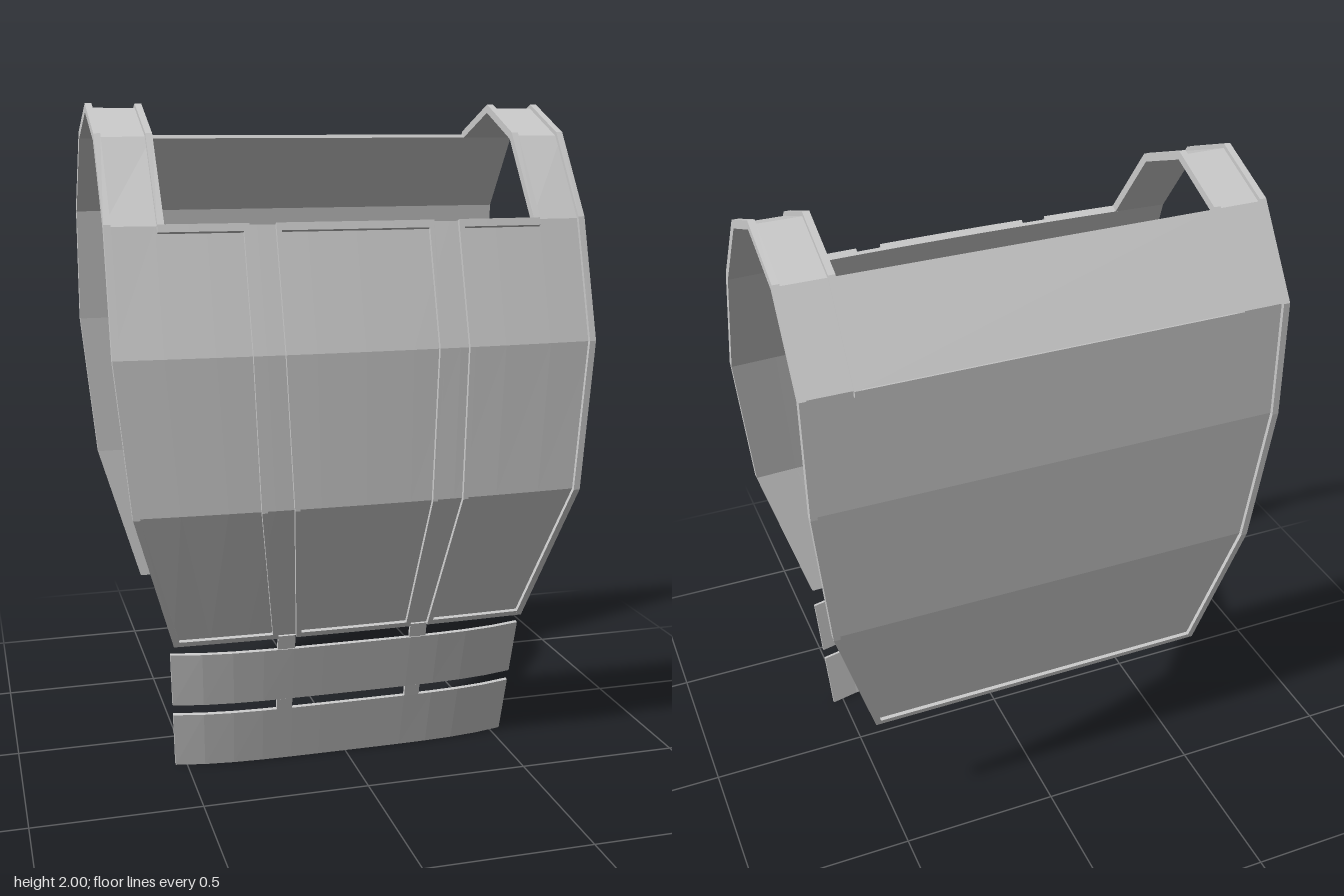
import * as THREE from 'three';

const material = new THREE.MeshStandardMaterial({ color: 0xcccccc, flatShading: true });
const lerp = THREE.MathUtils.lerp;

// linear lookup in a short table of per-row values
function at(table, t) {
  const i = Math.min(Math.floor(t), table.length - 2);
  return lerp(table[i], table[i + 1], t - i);
}

// surface swept across x from a side profile of [z, y] rows; bow bends the sides back
function makeSurface(profile, bow, power) {
  const normals = profile.map((p, i) => {
    const seg = (a, b) => {
      const dz = b[0] - a[0], dy = b[1] - a[1], l = Math.hypot(dz, dy);
      return [dy / l, -dz / l];
    };
    const n0 = seg(profile[Math.max(i - 1, 0)], profile[Math.max(i, 1)]);
    const last = profile.length - 1;
    const n1 = seg(profile[Math.min(i, last - 1)], profile[Math.min(i + 1, last)]);
    const k = 1 + n0[0] * n1[0] + n0[1] * n1[1];
    return [(n0[0] + n1[0]) / k, (n0[1] + n1[1]) / k];
  });
  return (t, x, d) => {
    const z = at(profile.map((p, i) => p[0] + normals[i][0] * d), t);
    const y = at(profile.map((p, i) => p[1] + normals[i][1] * d), t);
    return [x, y, z - at(bow, t) * Math.pow(Math.abs(x) / 0.55, power)];
  };
}

// closed slab over rows ts, between x limits left(t) and right(t), from depth d0 out to d1
function slab(surface, ts, left, right, d0, d1, nx) {
  const pos = [];
  const P = (i, j, d) => surface(ts[i], lerp(left(ts[i]), right(ts[i]), j / nx), d);
  const quad = (a, b, c, d) => pos.push(...a, ...b, ...c, ...a, ...c, ...d);
  const n = ts.length - 1;
  for (let i = 0; i < n; i++) {
    for (let j = 0; j < nx; j++) {
      quad(P(i, j, d1), P(i, j + 1, d1), P(i + 1, j + 1, d1), P(i + 1, j, d1));
      quad(P(i, j, d0), P(i + 1, j, d0), P(i + 1, j + 1, d0), P(i, j + 1, d0));
    }
    quad(P(i, 0, d0), P(i, 0, d1), P(i + 1, 0, d1), P(i + 1, 0, d0));
    quad(P(i, nx, d1), P(i, nx, d0), P(i + 1, nx, d0), P(i + 1, nx, d1));
  }
  for (let j = 0; j < nx; j++) {
    quad(P(0, j, d0), P(0, j + 1, d0), P(0, j + 1, d1), P(0, j, d1));
    quad(P(n, j, d1), P(n, j + 1, d1), P(n, j + 1, d0), P(n, j, d0));
  }
  const g = new THREE.BufferGeometry();
  g.setAttribute('position', new THREE.Float32BufferAttribute(pos, 3));
  g.computeVertexNormals();
  return g;
}

export function createModel() {
  const model = new THREE.Group();
  model.name = 'chestArmour';

  // side profile from the front hem, over the shoulders, to the back hem
  const body = makeSurface([
    [0.34, 0.43], [0.475, 0.86], [0.462, 1.31], [0.347, 1.67], [0.147, 1.915], [-0.062, 2],
    [-0.28, 1.915], [-0.46, 1.67], [-0.473, 1.31], [-0.45, 0.86], [-0.39, 0.43],
  ], [0.012, 0.014, 0.014, 0.012, 0, 0, 0, 0, 0, 0, 0], 2);
  const widths = [0.55, 0.675, 0.717, 0.717, 0.717, 0.717, 0.717, 0.717, 0.717, 0.675, 0.55];
  const W = (t) => at(widths, t);
  const INNER = -0.024, FACE = -0.012;

  const add = (name, surface, ts, left, right, d0, d1, nx = 1) => {
    const mesh = new THREE.Mesh(slab(surface, ts, left, right, d0, d1, nx), material);
    mesh.name = name;
    model.add(mesh);
  };
  // the same slab on the left (+x) and the right (-x)
  const pair = (name, surface, ts, a, b, d0, d1, nx) => {
    add(name + 'Left', surface, ts, a, b, d0, d1, nx);
    add(name + 'Right', surface, ts, (t) => -b(t), (t) => -a(t), d0, d1, nx);
  };
  const c = (v) => () => v;
  const rim = (name, ts, a, b, nx) => pair(name, body, ts, a, b, INNER, 0, nx);

  // plates and shoulder straps
  add('frontPlate', body, [0, 1, 2, 3], (t) => -W(t), W, INNER, FACE, 10);
  add('backPlate', body, [7, 8, 9, 10], (t) => -W(t), W, INNER, FACE, 1);
  add('upperBackPlate', body, [6, 7], c(-0.55), c(0.55), INNER, FACE, 1);
  pair('shoulderStrap', body, [3, 4, 5, 6, 7], c(0.55), W, INNER, FACE);

  // raised rims around the outline
  rim('sideRim', [0, 1, 2, 3, 4, 5, 6, 7, 8, 9, 10], (t) => W(t) - 0.02, W);
  rim('strapInnerRim', [3, 4, 5, 6, 7], c(0.55), c(0.57));
  add('backHemRim', body, [9.965, 10], (t) => -W(t), W, INNER, 0);
  add('backCrossRim', body, [7, 7.05], c(-0.57), c(0.57), INNER, 0);

  // front panels are split by two sunken channels that taper to the hem
  const inside = [0.165, 0.2, 0.22, 0.22], outside = [0.235, 0.295, 0.312, 0.312];
  const inA = (t) => at(inside, t), outA = (t) => at(outside, t);
  rim('channelInnerRim', [0, 1, 2, 3], inA, (t) => inA(t) + 0.015);
  rim('channelOuterRim', [0, 1, 2, 3], outA, (t) => outA(t) + 0.016);
  rim('frontTopRim', [2.94, 3], outA, c(0.57), 3);
  rim('frontHemRim', [0, 0.035], outA, W, 3);
  for (const [name, ts] of [['centreTopRim', [2.94, 3]], ['centreHemRim', [0, 0.035]]])
    add(name, body, ts, (t) => -inA(t), inA, INNER, 0, 4);

  // two curved waist bands hanging below the front, with short connectors
  const waist = makeSurface([[0.245, 0], [0.338, 0.43]], [0.04, 0.04], 4);
  const bandWidth = (t) => 0.535 + 0.022 * t;
  const rows = (y0, y1) => [y0 / 0.43, y1 / 0.43];
  add('lowerBand', waist, rows(0, 0.18), (t) => -bandWidth(t), bandWidth, -0.012, 0, 12);
  add('upperBand', waist, rows(0.215, 0.39), (t) => -bandWidth(t), bandWidth, -0.012, 0, 12);
  pair('lowerConnector', waist, rows(0.18, 0.215), c(0.182), c(0.23), -0.012, 0);
  pair('upperConnector', waist, rows(0.39, 0.435), c(0.182), c(0.235), -0.014, -0.003);

  return model;
}
